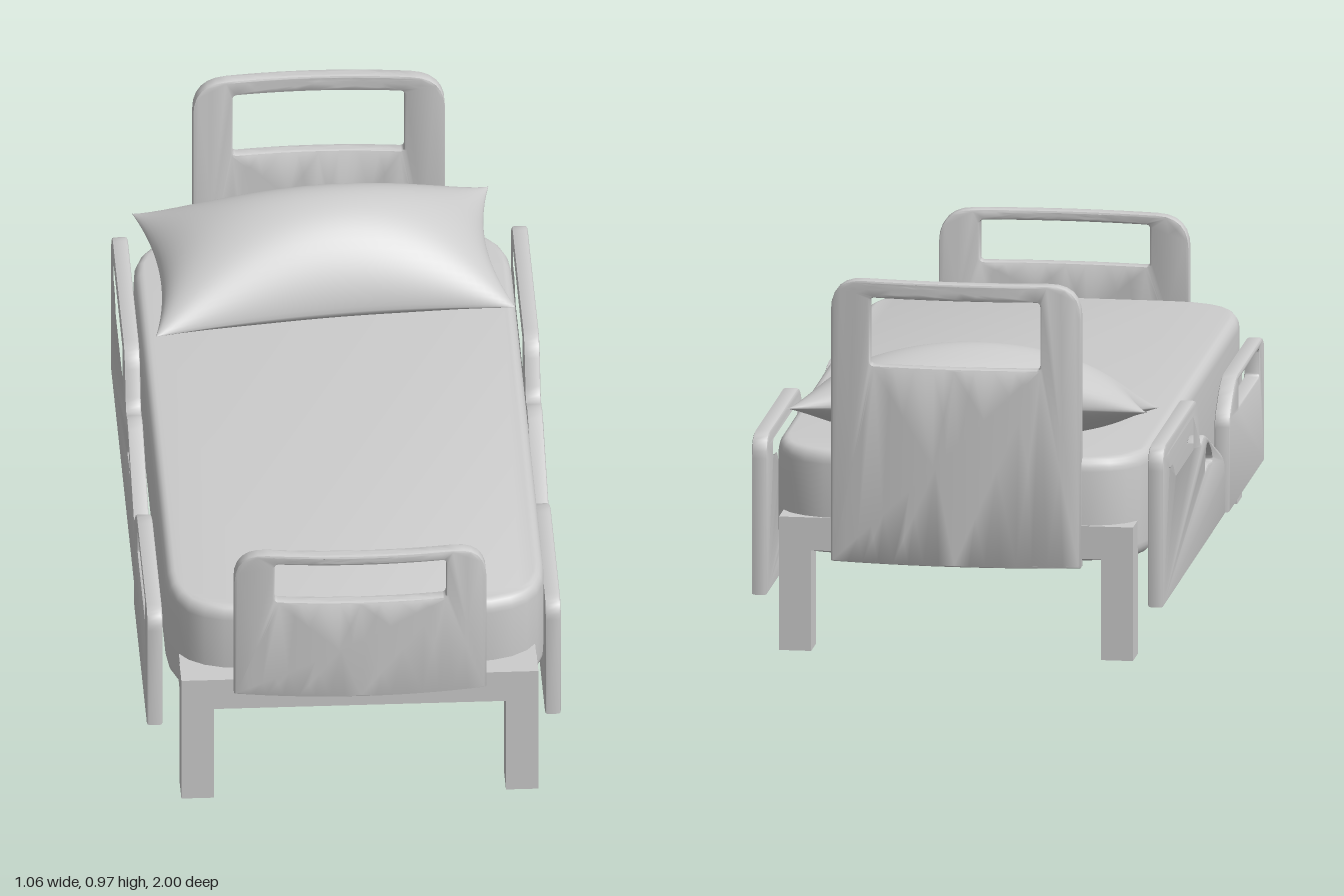
import * as THREE from 'three';
import { mergeGeometries, mergeVertices, toCreasedNormals } from 'three/addons/utils/BufferGeometryUtils.js';

const grey = new THREE.MeshStandardMaterial({ color: 0xcccccc });

function add(parent, name, geometry, x = 0, y = 0, z = 0) {
  const mesh = new THREE.Mesh(geometry, grey);
  mesh.name = name;
  mesh.position.set(x, y, z);
  parent.add(mesh);
  return mesh;
}

// Closed outline with rounded corners; each point is [x, y, radius]
function rounded(points, target = new THREE.Shape()) {
  const n = points.length;
  points.forEach(([x, y, r = 0], i) => {
    const p = new THREE.Vector2(x, y);
    const toward = (q) => {
      const d = new THREE.Vector2(q[0], q[1]).sub(p);
      return d.setLength(Math.min(r, d.length() * 0.49)).add(p);
    };
    const a = toward(points[(i + n - 1) % n]);
    const b = toward(points[(i + 1) % n]);
    if (i === 0) target.moveTo(a.x, a.y);
    else target.lineTo(a.x, a.y);
    if (r > 0) target.quadraticCurveTo(x, y, b.x, b.y);
  });
  target.closePath();
  return target;
}

const rect = (x0, x1, y0, y1, r, rTop = r) =>
  [[x0, y0, r], [x1, y0, r], [x1, y1, rTop], [x0, y1, rTop]];

// Slab with softened edges, centred on its thickness
function slab(outline, holes, thickness, bevel = 0.006, bevelDepth = bevel, segments = 2) {
  const shape = rounded(outline);
  shape.holes = holes.map((h) => rounded(h, new THREE.Path()));
  const geometry = new THREE.ExtrudeGeometry(shape, {
    depth: thickness - 2 * bevelDepth, bevelThickness: bevelDepth, bevelSize: bevel,
    bevelOffset: -bevel, bevelSegments: segments, curveSegments: 6,
  });
  return geometry.translate(0, 0, -thickness / 2 + bevelDepth);
}

// Splits triangles until none is wide in x, so that a flat slab can be bent
function splitInX(geometry, limit) {
  const p = geometry.attributes.position;
  const out = [];
  const split = (t) => {
    const span = [0, 1, 2].map((i) => Math.abs(t[i].x - t[(i + 1) % 3].x));
    const i = span.indexOf(Math.max(...span));
    if (span[i] <= limit) {
      t.forEach((v) => out.push(v.x, v.y, v.z));
      return;
    }
    const a = t[i], b = t[(i + 1) % 3], c = t[(i + 2) % 3];
    const m = a.clone().add(b).multiplyScalar(0.5);
    split([a, m, c]);
    split([m, b, c]);
  };
  for (let i = 0; i < p.count; i += 3) {
    split([0, 1, 2].map((k) => new THREE.Vector3().fromBufferAttribute(p, i + k)));
  }
  return new THREE.BufferGeometry().setAttribute('position', new THREE.Float32BufferAttribute(out, 3));
}

// Gently bowed end board with a hand opening
function endBoard(y0, y1, w0, w1) {
  const half = 0.319, bow = 0.03;
  const flat = slab(rect(-half, half, y0, y1, 0.004, 0.085), [rect(-0.217, 0.217, w0, w1, 0.012)], 0.036);
  const geometry = splitInX(flat, 0.05);
  const p = geometry.attributes.position;
  for (let i = 0; i < p.count; i++) {
    p.setZ(i, p.getZ(i) + 0.982 - bow * (p.getX(i) / half) ** 2);
  }
  return toCreasedNormals(geometry, 0.6);
}

// Side rail drawn as (z, y), turned to stand along the bed
function sideRail(outline, holes) {
  return toCreasedNormals(slab(outline, holes, 0.04).rotateY(-Math.PI / 2), 0.6);
}

// One face of the pillow: side 1 is the top, -1 the underside
function pillowFace(side) {
  const geometry = new THREE.PlaneGeometry(2, 2, 40, 28);
  if (side < 0) geometry.rotateY(Math.PI);
  geometry.deleteAttribute('uv');
  geometry.deleteAttribute('normal');
  const p = geometry.attributes.position;
  const mix = THREE.MathUtils.lerp;
  for (let i = 0; i < p.count; i++) {
    const u = Math.sin(p.getX(i) * Math.PI / 2);
    const v = Math.sin(p.getY(i) * Math.PI / 2);
    const s = (u + 1) / 2, t = (v + 1) / 2;
    // skewed four-cornered plan with edges drawn inward
    const x = mix(mix(-0.44, 0.475, s), mix(-0.475, 0.43, s), t) - 0.04 * u * (1 - v * v);
    const z = mix(mix(-0.425, -0.52, s), mix(-0.885, -0.97, s), t) + 0.045 * v * (1 - u * u);
    const puff = Math.max(0, (1 - u * u) * (1 - v * v)) ** 0.6;
    const y = 0.58 + 0.045 * v + puff * (side > 0 ? 0.173 : -0.08);
    p.setXYZ(i, x, y, z);
  }
  return geometry;
}

export function createModel() {
  const bed = new THREE.Group();
  bed.name = 'bed';

  // Frame and legs
  add(bed, 'frame', new THREE.BoxGeometry(0.9, 0.085, 1.92), 0, 0.3025, -0.005);
  for (const x of [-0.41, 0.41]) {
    for (const [name, z] of [['frontLeg', 0.912], ['backLeg', -0.922]]) {
      add(bed, name, new THREE.BoxGeometry(0.082, 0.345, 0.086), x, 0.1725, z);
    }
  }

  // Mattress
  const mattress = slab(rect(-0.478, 0.478, -0.9, 0.965, 0.2), [], 0.268, 0.025, 0.035, 5);
  add(bed, 'mattress', toCreasedNormals(mattress.rotateX(-Math.PI / 2), 0.7), 0, 0.384, 0);

  // Pillow
  const pillow = mergeVertices(mergeGeometries([pillowFace(1), pillowFace(-1)]), 1e-4);
  pillow.computeVertexNormals();
  add(bed, 'pillow', pillow);

  // End boards
  add(bed, 'footboard', endBoard(0.31, 0.722, 0.587, 0.695));
  add(bed, 'headboard', endBoard(0.235, 0.966, 0.747, 0.922)).rotation.y = Math.PI;

  // Foot rails
  const footRail = sideRail(
    [[0.807, 0.13], [0.195, 0.13], [0.195, 0.37, 0.03], [0.3, 0.455, 0.06], [0.807, 0.455, 0.05]],
    [rect(0.35, 0.72, 0.365, 0.437, 0.01)]);
  add(bed, 'leftFootRail', footRail, 0.496, 0, 0);
  add(bed, 'rightFootRail', footRail, -0.51, 0, 0);

  // Head rails with a long hand opening and a small grip hole
  const headRail = sideRail(
    [[0.147, 0.135], [-0.94, 0.135], [-0.94, 0.547, 0.06], [-0.345, 0.547, 0.05],
      [-0.28, 0.4, 0.04], [-0.215, 0.425, 0.04], [0.1, 0.3, 0.04], [0.147, 0.27, 0.03]],
    [
      [[-0.405, 0.52, 0.01], [-0.405, 0.42, 0.01], [-0.73, 0.42, 0.02], [-0.77, 0.465, 0.025],
        [-0.838, 0.465, 0.01], [-0.838, 0.52, 0.01]],
      [[-0.06, 0.32, 0.02], [-0.08, 0.35, 0.02], [-0.135, 0.385, 0.02], [-0.18, 0.385, 0.02],
        [-0.21, 0.32, 0.02], [-0.15, 0.333, 0.03]],
    ]);
  add(bed, 'leftHeadRail', headRail, 0.505, 0, 0);
  add(bed, 'rightHeadRail', headRail, -0.505, 0, 0);

  return bed;
}
